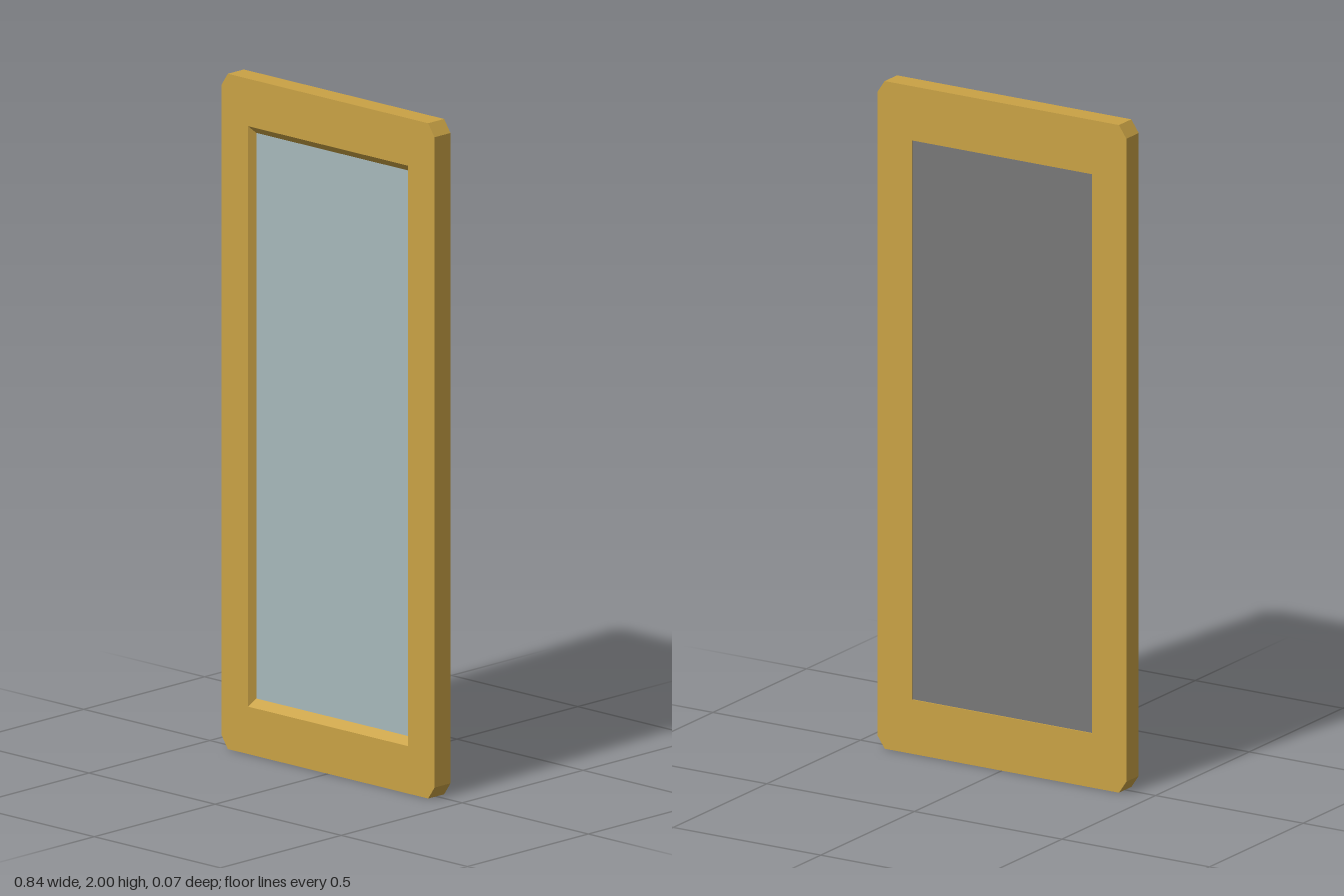
import * as THREE from 'three';

const HALF_W = 0.422, HALF_H = 1, HALF_D = 0.033;   // outer frame
const CUT_X = 0.025, CUT_Y = 0.037;                 // clipped corners
const OPEN_X = 0.305, OPEN_Y = 0.8375;              // opening at the glass
const FLARE_X = 0.012, FLARE_Y = 0.022;             // bevel widening toward the front
const GLASS_Z = 0.011, BACK_Z = -0.029;

const points = (list) => list.map(([x, y]) => new THREE.Vector2(x, y));

function frameGeometry() {
  const x = HALF_W, y = HALF_H;
  const shape = new THREE.Shape(points([
    [-x + CUT_X, -y], [x - CUT_X, -y], [x, -y + CUT_Y], [x, y - CUT_Y],
    [x - CUT_X, y], [-x + CUT_X, y], [-x, y - CUT_Y], [-x, -y + CUT_Y],
  ]));
  shape.holes.push(new THREE.Path(points([
    [-OPEN_X, -OPEN_Y], [-OPEN_X, OPEN_Y], [OPEN_X, OPEN_Y], [OPEN_X, -OPEN_Y],
  ])));
  const geo = new THREE.ExtrudeGeometry(shape, { depth: 2 * HALF_D, steps: 2, bevelEnabled: false });
  geo.translate(0, 0, -HALF_D);

  // Move the middle ring to the glass and flare the front rim of the opening
  const pos = geo.attributes.position;
  for (let i = 0; i < pos.count; i++) {
    const px = pos.getX(i), py = pos.getY(i), pz = pos.getZ(i);
    if (Math.abs(pz) < 0.001) pos.setZ(i, GLASS_Z);
    const inner = Math.abs(px) < OPEN_X + 0.001 && Math.abs(py) < OPEN_Y + 0.001;
    if (inner && pz > HALF_D - 0.001) {
      pos.setXY(i, px + Math.sign(px) * FLARE_X, py + Math.sign(py) * FLARE_Y);
    }
  }
  geo.computeVertexNormals();
  return geo;
}

export function createModel() {
  const gold = new THREE.MeshStandardMaterial({ name: 'goldFrame', color: 0xc9a245 });
  const silver = new THREE.MeshStandardMaterial({ name: 'mirrorGlass', color: 0xa6b8bb });
  const grey = new THREE.MeshStandardMaterial({ name: 'greyBacking', color: 0x777777 });

  const model = new THREE.Group();
  model.name = 'wallMirror';
  const add = (name, geometry, material, z) => {
    const mesh = new THREE.Mesh(geometry, material);
    mesh.name = name;
    mesh.position.set(0, HALF_H, z);
    model.add(mesh);
  };

  add('frame', frameGeometry(), gold, 0);

  // Glass in front, backing board behind, both filling the opening
  const thin = 0.006, board = GLASS_Z - thin - BACK_Z;
  add('glass', new THREE.BoxGeometry(2 * OPEN_X, 2 * OPEN_Y, thin), silver, GLASS_Z - thin / 2);
  add('backingBoard', new THREE.BoxGeometry(2 * OPEN_X, 2 * OPEN_Y, board), grey, BACK_Z + board / 2);

  return model;
}
